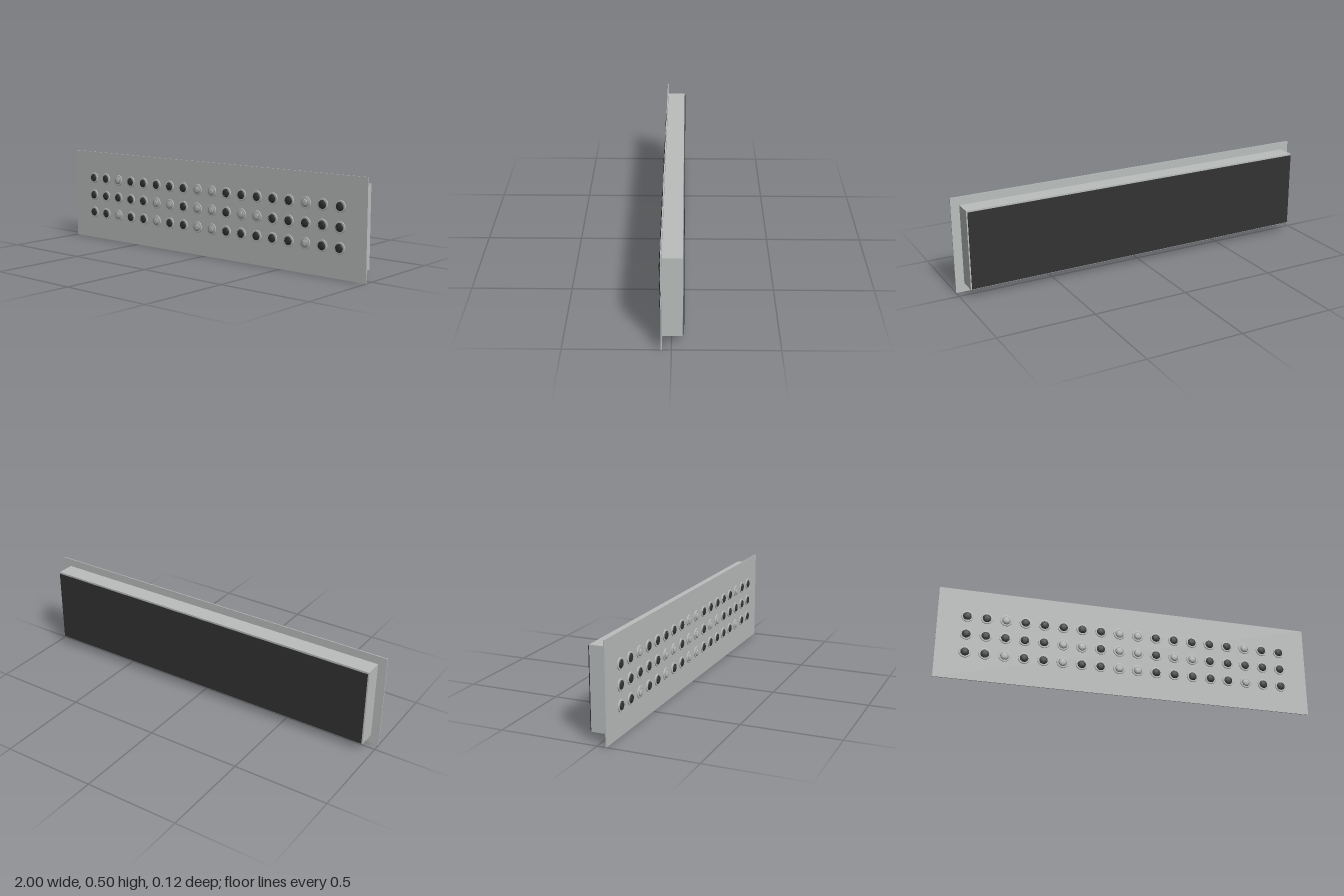
import * as THREE from 'three';

export function createModel() {
  const model = new THREE.Group();
  const mat = (name, color) => Object.assign(new THREE.MeshStandardMaterial({ color }), { name });
  const metal = mat('greyMetal', 0xbabebd);
  const trim = mat('ringGrey', 0x9a9d9c);
  const dark = mat('darkPlastic', 0x333333);

  const add = (parent, name, geometry, material, x, y, z) => {
    const mesh = new THREE.Mesh(geometry, material);
    mesh.name = name;
    mesh.position.set(x, y, z);
    parent.add(mesh);
    return mesh;
  };
  const box = (name, material, w, h, y, z0, z1) =>
    add(model, name, new THREE.BoxGeometry(w, h, z1 - z0), material, 0, y, (z0 + z1) / 2);

  // Front plate, housing and rear cover
  box('facePlate', metal, 2, 0.5, 0.25, 0.043, 0.048);
  box('housing', metal, 1.91, 0.412, 0.251, -0.051, 0.043);
  box('rearCover', dark, 1.9, 0.4, 0.25, -0.058, -0.055);

  // Turned profiles (radius, height), rotated so the axis points to +z
  const turned = (points) =>
    new THREE.LatheGeometry(points.map(([r, h]) => new THREE.Vector2(r, h)), 20)
      .rotateX(Math.PI / 2);
  const collarShape = turned([[0.031, 0], [0.031, 0.004], [0.03, 0.005], [0.022, 0.005]]);
  const rimShape = turned([[0.022, 0.004], [0.021, 0.007], [0.018, 0.0085], [0.016, 0.0085]]);
  const capShape = turned([[0.0165, 0.0075], [0.015, 0.0095], [0.011, 0.0105], [0, 0.011]]);

  // Three rows of eighteen buttons; the listed columns have light caps
  const lightColumns = [
    [2, 5, 8, 9, 15],
    [5, 6, 8, 9, 11, 12],
    [2, 8, 9, 11, 15],
  ];
  // Top row: inner light pair, with its single neighbour on the right side
  lightColumns[2] = [2, 8, 9, 15];
  lightColumns.forEach((columns, row) => {
    for (let col = 0; col < 18; col++) {
      const button = new THREE.Group();
      button.name = 'button';
      button.position.set(-0.85 + col * 0.1, 0.15 + row * 0.1, 0.048);
      const light = columns.includes(col);
      add(button, 'collar', collarShape, metal, 0, 0, 0);
      add(button, 'rim', rimShape, light ? trim : dark, 0, 0, 0);
      add(button, 'cap', capShape, light ? metal : dark, 0, 0, 0);
      model.add(button);
    }
  });

  return model;
}
